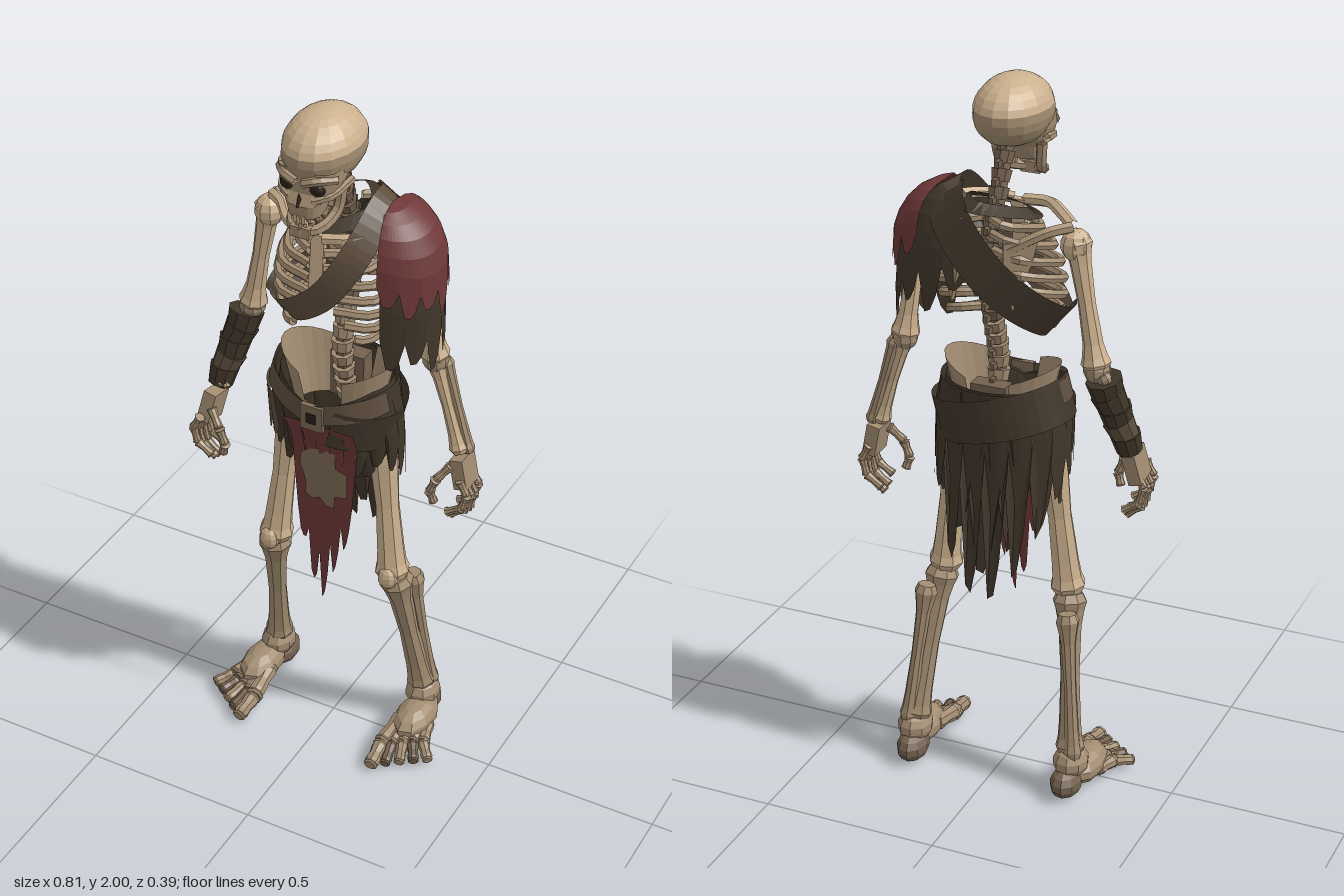
import * as THREE from 'three';

const V = (x, y, z) => new THREE.Vector3(x, y, z);
const mat = (name, color, side = THREE.FrontSide) => {
  const m = new THREE.MeshStandardMaterial({ color, flatShading: true, side });
  m.name = name;
  return m;
};
const paleBone = mat('pale bone', 0xcbb08e);
const bone = mat('bone', 0xa28c71, THREE.DoubleSide);
const darkBone = mat('dark bone', 0x74624f);
const cloth = mat('dark cloth', 0x40362a, THREE.DoubleSide);
const leather = mat('leather', 0x5e4e3e, THREE.DoubleSide);
const red = mat('red cloth', 0x6f3838, THREE.DoubleSide);
const tan = mat('faded emblem', 0x7e6b57, THREE.DoubleSide);
const hollow = mat('hollow', 0x2a2119);

// Repeatable noise and a ragged hem made of n blunt strips (sample 4 per strip)
const rnd = (i) => { const s = Math.sin(i * 127.1 + 11.7) * 43758.5453; return s - Math.floor(s); };
const jag = (u, n, seed) => {
  const k = u * n, i = Math.floor(k + 1e-6), f = k - i;
  const tip = Math.min(1, 4 * Math.min(f, 1 - f)) * (f > 0.6 ? 0.7 : 1);
  return Math.max(0, tip) * (0.4 + 0.6 * rnd(i + seed));
};

export function createModel() {
  const model = new THREE.Group();
  model.name = 'skeletonWarrior';

  const add = (name, geo, m, parent = model) => {
    const mesh = new THREE.Mesh(geo, m);
    mesh.name = name;
    parent.add(mesh);
    return mesh;
  };
  const group = (name) => { const g = new THREE.Group(); g.name = name; model.add(g); return g; };
  // Surface swept by fn(u, v)
  const sheet = (name, fn, nu, nv, m, parent) => {
    const pos = [], idx = [];
    for (let j = 0; j <= nv; j++) for (let i = 0; i <= nu; i++) pos.push(...fn(i / nu, j / nv));
    for (let j = 0; j < nv; j++) for (let i = 0; i < nu; i++) {
      const a = j * (nu + 1) + i, c = a + nu + 1;
      idx.push(a, a + 1, c, a + 1, c + 1, c);
    }
    const g = new THREE.BufferGeometry();
    g.setAttribute('position', new THREE.Float32BufferAttribute(pos, 3));
    g.setIndex(idx);
    g.computeVertexNormals();
    return add(name, g, m, parent);
  };
  // Long bone with a thin shaft and knobbed ends
  const longBone = (name, a, b, r, e0, e1, m, parent) => {
    const L = a.distanceTo(b);
    const prof = [[0, 0], [e0 * 0.75, 0], [e0, 0.05], [e0 * 0.85, 0.1], [r * 1.1, 0.2], [r * 0.9, 0.5],
      [r * 1.05, 0.8], [e1 * 0.85, 0.9], [e1, 0.95], [e1 * 0.75, 1], [0, 1]];
    const mesh = add(name, new THREE.LatheGeometry(prof.map(([x, t]) => new THREE.Vector2(x, t * L)), 8), m, parent);
    mesh.position.copy(a);
    mesh.quaternion.setFromUnitVectors(V(0, 1, 0), b.clone().sub(a).normalize());
  };
  const tube = (name, pts, r, m, parent, n = 12) =>
    add(name, new THREE.TubeGeometry(new THREE.CatmullRomCurve3(pts), n, r, 6), m, parent);
  const ball = (name, p, s, m, parent) => {
    const b = add(name, new THREE.SphereGeometry(1, 9, 7), m, parent);
    b.position.copy(p);
    b.scale.set(...s);
  };
  const box = (name, p, s, m, parent) => {
    const b = add(name, new THREE.BoxGeometry(...s), m, parent);
    b.position.copy(p);
    return b;
  };
  // Flat strap along part of a closed path, facing away from a centre
  const strap = (name, pts, centre, width, m, u0 = 0, u1 = 1) => {
    const c = new THREE.CatmullRomCurve3(pts, true);
    return sheet(name, (u, v) => {
      const t = (u0 + (u1 - u0) * u) % 1, p = c.getPoint(t);
      const w = c.getTangent(t).cross(p.clone().sub(centre)).normalize();
      return p.addScaledVector(w, (v - 0.5) * width).toArray();
    }, 28, 1, m);
  };

  // Skull
  const skull = group('skull');
  const cut = Math.PI * 0.45;
  for (const [t0, tl, m, name] of [[0, cut, paleBone, 'cranium'], [cut, Math.PI - cut, bone, 'skullBase']]) {
    const g = new THREE.SphereGeometry(1, 16, 7, 0, Math.PI * 2, t0, tl);
    const p = g.attributes.position;
    for (let i = 0; i < p.count; i++) {
      const y = Math.max(p.getY(i), -0.85);
      p.setXYZ(i, p.getX(i) * 0.101, 1.905 + y * 0.095, 0.045 + p.getZ(i) * 0.138);
    }
    add(name, g, m, skull);
  }
  const face = [[1.757, 0.001, 0.13, 0.131], [1.757, 0.042, 0.09, 0.18], [1.795, 0.05, 0.07, 0.188],
    [1.822, 0.076, 0.05, 0.17], [1.85, 0.084, 0.04, 0.17], [1.885, 0.085, 0.04, 0.172]];
  const pw = (x) => Math.sign(x) * Math.abs(x) ** 0.7;
  sheet('face', (u, v) => {
    const [y, w, zb, zf] = face[Math.round(v * 5)], a = u * Math.PI * 2;
    return [w * pw(Math.sin(a)), y, (zb + zf) / 2 + (zf - zb) / 2 * pw(Math.cos(a))];
  }, 16, 5, bone, skull);
  for (const s of [-1, 1]) {
    ball('eyeSocket', V(s * 0.041, 1.839, 0.161), [0.023, 0.018, 0.013], hollow, skull);
    tube('brow', [V(s * 0.01, 1.857, 0.179), V(s * 0.045, 1.869, 0.173), V(s * 0.08, 1.862, 0.13)], 0.012, bone, skull, 6);
    tube('cheekbone', [V(s * 0.03, 1.807, 0.17), V(s * 0.068, 1.818, 0.145), V(s * 0.085, 1.832, 0.06)], 0.011, bone, skull, 6);
  }
  const nose = add('noseHole', new THREE.ConeGeometry(0.014, 0.035, 3), hollow, skull);
  nose.position.set(0, 1.81, 0.18);
  tube('jaw', [V(-0.066, 1.815, 0.075), V(-0.058, 1.75, 0.088), V(-0.04, 1.72, 0.145), V(0, 1.715, 0.168),
    V(0.04, 1.72, 0.145), V(0.058, 1.75, 0.088), V(0.066, 1.815, 0.075)], 0.015, bone, skull, 18);
  box('chin', V(0, 1.714, 0.165), [0.055, 0.03, 0.028], bone, skull);
  for (let i = -3; i <= 3; i++) {
    const z = 0.181 - i * i * 0.004;
    box('upperTooth', V(i * 0.012, 1.754, z), [0.009, 0.022, 0.009], paleBone, skull);
    box('lowerTooth', V(i * 0.012, 1.736, z - 0.01), [0.009, 0.018, 0.009], paleBone, skull);
  }

  // Spine
  const spine = group('spine');
  const spinePts = [V(0, 1.08, -0.08), V(0, 1.25, -0.05), V(0, 1.4, -0.09), V(0, 1.55, -0.125), V(0, 1.67, -0.07), V(0, 1.84, 0.0)];
  const spineLine = new THREE.CatmullRomCurve3(spinePts);
  tube('spineCore', spinePts, 0.022, darkBone, spine, 24);
  for (let i = 0; i <= 20; i++) {
    const r = 0.033 - i * 0.0002, p = spineLine.getPoint(i / 20);
    const v = add('vertebra', new THREE.CylinderGeometry(r, r * 0.85, 0.032, 8), i < 8 ? bone : darkBone, spine);
    v.position.copy(p);
    v.quaternion.setFromUnitVectors(V(0, 1, 0), spineLine.getTangent(i / 20));
    box('vertebraSpur', p.clone().add(V(0, -0.008, -0.032)), [0.012, 0.018, 0.035], darkBone, spine);
  }

  // Ribcage, shoulder blades and collarbones
  const chest = group('ribcage');
  const sternum = box('sternum', V(0, 1.575, 0.085), [0.038, 0.16, 0.018], paleBone, chest);
  sternum.rotation.x = -0.12;
  const blade = new THREE.Shape([[0, 0.07], [0.09, 0.08], [0.075, 0.02], [0.025, -0.11], [0, -0.03]].map((p) => new THREE.Vector2(...p)));
  for (const s of [-1, 1]) {
    for (let i = 0; i < 7; i++) {
      const y = 1.65 - i * 0.043, w = [0.095, 0.135, 0.157, 0.167, 0.168, 0.16, 0.14][i];
      const low = Math.max(0, i - 3);
      tube('rib', [V(s * 0.015, y + 0.02, -0.125 + low * 0.012), V(s * w * 0.6, y + 0.015, -0.155 + low * 0.012),
        V(s * w, y - 0.02, -0.05), V(s * w * 0.85, y - 0.045, 0.035),
        V(s * (0.018 + low * 0.024), y - 0.04, 0.09 - low * 0.012)], 0.013, bone, chest, 14);
    }
    tube('collarbone', [V(s * 0.015, 1.65, 0.085), V(s * 0.09, 1.66, 0.065), V(s * 0.15, 1.665, 0.0), V(s * 0.205, 1.65, -0.05)], 0.016, paleBone, chest);
    tube('bladeRidge', [V(s * 0.205, 1.65, -0.06), V(s * 0.16, 1.645, -0.11), V(s * 0.07, 1.6, -0.155)], 0.015, bone, chest);
    const b = add('shoulderBlade', new THREE.ExtrudeGeometry(blade, { depth: 0.012, bevelEnabled: false }), bone, chest);
    b.position.set(s * 0.065, 1.55, -0.172);
    b.rotation.y = -s * 0.5;
    b.scale.x = s;
  }

  // Arms: shoulder, elbow, wrist
  const arms = [
    [-1, V(-0.215, 1.625, -0.05), V(-0.285, 1.275, -0.07), V(-0.35, 1.03, 0.0), 0.045, 'right'],
    [1, V(0.215, 1.625, -0.05), V(0.265, 1.275, -0.07), V(0.348, 1.01, -0.06), 0.005, 'left']];
  for (const [s, sh, el, wr, dz, side] of arms) {
    const arm = group(side + 'Arm');
    longBone('upperArm', sh, el, 0.026, 0.04, 0.041, paleBone, arm);
    ball('shoulderHead', sh.clone().add(V(0, -0.025, 0)), [0.042, 0.045, 0.042], paleBone, arm);
    ball('elbow', el, [0.037, 0.037, 0.037], bone, arm);
    longBone('forearm', el, wr, 0.019, 0.03, 0.028, paleBone, arm);
    longBone('forearmOuter', el.clone().add(V(s * 0.02, 0, -0.015)), wr.clone().add(V(s * 0.02, 0, -0.012)), 0.015, 0.021, 0.02, bone, arm);
    const palm = box('palm', wr.clone().add(V(s * 0.014, -0.05, dz * 0.5)), [0.038, 0.09, 0.075], bone, arm);
    palm.rotation.set(-dz * 4, 0, s * 0.2);
    for (let i = 0; i < 4; i++) {
      const z = dz + (i - 1.5) * 0.024, k = 1 - 0.1 * Math.abs(i - 1.3);
      const p = (x, y) => wr.clone().add(V(s * x, y * k, z));
      const pts = [p(0.02, -0.075), p(0.042, -0.125), p(0.03, -0.18), p(-0.015, -0.215)];
      for (let j = 0; j < 3; j++) longBone('finger', pts[j], pts[j + 1], 0.011, 0.015, 0.014, bone, arm);
    }
    const th = [V(-0.01, -0.03, dz + 0.025), V(-0.045, -0.075, dz + 0.045), V(-0.062, -0.12, dz + 0.045), V(-0.052, -0.155, dz + 0.04)]
      .map((v) => wr.clone().add(V(s * v.x, v.y, v.z)));
    for (let j = 0; j < 3; j++) longBone('thumb', th[j], th[j + 1], 0.012, 0.016, 0.014, bone, arm);
    // Wrapped bracer on the right forearm
    if (s < 0) for (let i = 0; i < 5; i++) {
      const q = el.clone().lerp(wr, 0.2 + i * 0.17).add(V(-0.01, 0, -0.006));
      const c = add('bracerBand', new THREE.CylinderGeometry(0.05 - i * 0.002, 0.043 - i * 0.002, 0.055, 9), i === 3 ? leather : cloth, arm);
      c.position.copy(q);
      c.rotation.set(-0.25, 0, -0.15 - (i % 2) * 0.2);
    }
  }

  // Legs and feet
  for (const s of [-1, 1]) {
    const leg = group(s < 0 ? 'rightLeg' : 'leftLeg');
    const P = (x, y, z) => V(s * x, y, z);
    longBone('thigh', P(0.135, 1.04, -0.02), P(0.185, 0.57, 0.0), 0.037, 0.045, 0.05, paleBone, leg);
    ball('kneecap', P(0.186, 0.585, 0.035), [0.03, 0.034, 0.02], paleBone, leg);
    longBone('shin', P(0.19, 0.57, -0.005), P(0.235, 0.12, -0.1), 0.03, 0.049, 0.042, bone, leg);
    longBone('calfBone', P(0.21, 0.54, -0.07), P(0.252, 0.12, -0.12), 0.019, 0.033, 0.027, bone, leg);
    ball('ankle', P(0.238, 0.1, -0.1), [0.05, 0.048, 0.058], bone, leg);
    ball('heel', P(0.235, 0.045, -0.125), [0.044, 0.045, 0.062], darkBone, leg);
    ball('instep', P(0.252, 0.058, -0.03), [0.056, 0.046, 0.1], bone, leg);
    for (let i = 0; i < 5; i++) {
      const t = i / 4, fat = i ? 0.019 : 0.025;
      const base = P(0.22 + t * 0.07, 0.058 - t * 0.015, -0.02 - t * 0.015);
      const mid = P(0.21 + t * 0.1, 0.036, 0.1 - t * 0.06);
      const tip = P(0.215 + t * 0.135, 0.021, 0.183 - t * 0.095);
      longBone('footBone', base, mid, fat * 0.95, fat, fat * 1.1, bone, leg);
      longBone('toe', mid, tip, fat * 0.85, fat, fat * 0.85, i % 2 ? darkBone : bone, leg);
    }
  }

  // Pelvis
  const pelvis = group('pelvis');
  for (const s of [-1, 1]) sheet('hipBlade', (u, v) => {
    const a = 0.35 + u * 2.45, flare = 0.7 + 0.3 * v;
    return [s * 0.15 * flare * Math.sin(a) + s * 0.012, 1.05 + v * (0.165 + 0.035 * Math.sin(u * Math.PI)), -0.025 + 0.11 * flare * Math.cos(a)];
  }, 10, 3, bone, pelvis);
  box('sacrum', V(0, 1.13, -0.1), [0.1, 0.14, 0.05], darkBone, pelvis);

  // Ragged skirt in two layers, with long tatters gathered at the back
  const skirt = (name, n, seed, grow, drop) => sheet(name, (u, v) => {
    const a = u * Math.PI * 2, c = Math.cos(a), b = ((1 - c) / 2) ** 7;
    const top = 1.14 + 0.055 * Math.min(1, 2 * Math.abs(Math.sin(a / 2)));
    const bottom = 1.0 - drop - 0.1 * b - jag(u, n, seed) * (0.1 + 0.28 * b);
    const rz = c > 0 ? 0.145 - 0.07 * v : 0.15 - 0.025 * Math.sin(v * Math.PI);
    return [(0.17 + grow + 0.024 * Math.min(1, 2 * v)) * Math.sin(a), top + (bottom - top) * v, -0.02 + (rz + grow) * c];
  }, n * 4, 5, cloth);
  skirt('skirt', 18, 3, 0, 0);
  skirt('underSkirt', 13, 40, -0.014, 0.03);

  // Front cloth with faded emblem
  sheet('frontCloth', (u, v) => {
    const mid = 1 - Math.abs(2 * u - 0.9);
    const bottom = 0.8 - 0.17 * mid - 0.17 * jag(u, 5, 9) * (0.5 + 0.5 * mid);
    return [0.02 + (u - 0.5) * (0.21 - 0.045 * v), 1.1 + (bottom - 1.1) * v, 0.128 - 0.04 * Math.min(1, v * 4)];
  }, 20, 6, red);
  const blot = [];
  for (let i = 0; i < 18; i++) {
    const a = i / 18 * Math.PI * 2, r = 0.55 + 0.55 * rnd(i + 7);
    blot.push(new THREE.Vector2(Math.cos(a) * r * 0.075, Math.sin(a) * r * 0.105));
  }
  add('emblem', new THREE.ShapeGeometry(new THREE.Shape(blot)), tan).position.set(0.018, 0.905, 0.1);

  // Belts, hip flap and buckle
  const belt = (name, tilt, y, grow, width, m, u0, u1) => {
    const pts = [];
    for (let i = 0; i < 12; i++) {
      const a = i / 12 * Math.PI * 2, x = (0.172 + grow) * Math.sin(a);
      pts.push(V(x, y + tilt * x, -0.02 + (0.142 + grow) * Math.cos(a)));
    }
    strap(name, pts, V(0, y, -0.02), width, m, u0, u1);
  };
  belt('beltRight', -0.28, 1.13, 0.01, 0.06, leather, 0.72, 1.02);
  belt('beltLeft', 0.2, 1.135, 0.016, 0.06, leather, 0, 0.2);
  belt('hipWrap', -0.25, 1.115, 0.013, 0.12, cloth, 0.05, 0.8);
  sheet('hipFlap', (u, v) => {
    const a = -1.45 + u * 0.75, y = 1.14 - v * (0.13 + 0.06 * jag(u, 3, 15));
    return [0.197 * Math.sin(a), y, -0.02 + (0.158 - 0.04 * v) * Math.cos(a)];
  }, 12, 3, leather);
  box('buckle', V(0.01, 1.13, 0.136), [0.065, 0.075, 0.016], tan);
  box('buckleGap', V(0.01, 1.13, 0.144), [0.028, 0.03, 0.006], hollow);

  // Sash over the left shoulder, leather in front and dark cloth behind
  const sash = [V(0.135, 1.728, -0.03), V(0.11, 1.63, 0.085), V(0.03, 1.5, 0.118), V(-0.07, 1.42, 0.1), V(-0.155, 1.375, 0.01),
    V(-0.165, 1.39, -0.07), V(-0.1, 1.46, -0.155), V(0, 1.56, -0.185), V(0.1, 1.68, -0.15)];
  strap('sashFront', sash, V(0, 1.52, -0.04), 0.08, leather, 0.93, 1.45);
  strap('sashBack', sash, V(0, 1.52, -0.04), 0.11, cloth, 0.43, 0.95);
  strap('collar', [V(0, 1.66, 0.045), V(0.1, 1.69, -0.04), V(0.02, 1.7, -0.15), V(-0.1, 1.67, -0.05)], V(0, 1.5, -0.05), 0.045, cloth);

  // Shoulder cape: red top, shorter behind, over a dark torn lining
  const cape = (name, cx, a0, a1, n, seed, size, fall, tear, m) => sheet(name, (u, v) => {
    const a = a0 + (a1 - a0) * u, f = v * Math.PI / 2, r = Math.sin(f), side = Math.max(0, Math.sin(a));
    return [cx + (0.295 - cx) * size * Math.sin(a) * r,
      1.73 - (1 - size) * 0.3 - (fall * (1 + 0.25 * Math.cos(a)) + 0.07 * side) * (1 - Math.cos(f)) - (v === 1 ? tear * jag(u, n, seed) : 0),
      -0.045 + 0.132 * size * Math.cos(a) * r ** 0.7];
  }, n * 4, 6, m);
  cape('shoulderCape', 0.145, 0.15, 2.95, 7, 21, 1, 0.13, 0.08, red);
  cape('capeLining', 0.125, 0.3, 4.1, 9, 60, 0.97, 0.25, 0.14, cloth);

  return model;
}
